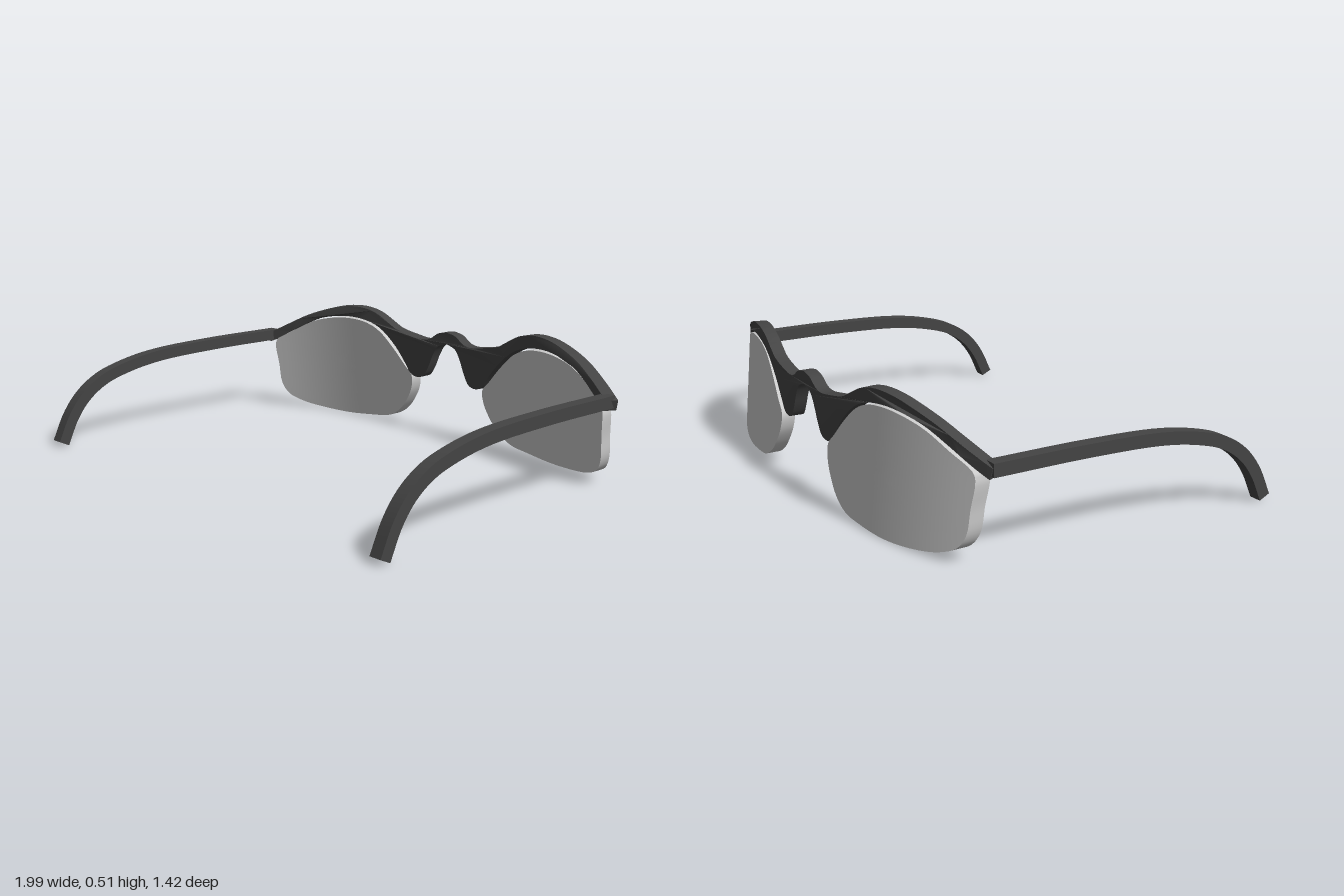
import * as THREE from 'three';
import { toCreasedNormals } from 'three/addons/utils/BufferGeometryUtils.js';

const dark = new THREE.MeshStandardMaterial({ color: 0x444444 });
const grey = new THREE.MeshStandardMaterial({ color: 0xcccccc });

const smooth = (pts, n, closed = false) => new THREE.CatmullRomCurve3(
  pts.map(([x, y]) => new THREE.Vector3(x, y, 0)), closed, 'centripetal').getPoints(n);

function addMesh(group, name, geometry, material) {
  const mesh = new THREE.Mesh(toCreasedNormals(geometry, 0.6), material);
  mesh.name = name;
  group.add(mesh);
}

// Brow bar with bridge and nose lobes, extruded flat and wrapped around the face
function browGeometry() {
  const top = [[0, 0.455], [0.05, 0.445], [0.1, 0.415], [0.14, 0.408], [0.2, 0.415], [0.3, 0.435], [0.34, 0.455],
    [0.42, 0.495], [0.5, 0.512], [0.6, 0.508], [0.7, 0.485], [0.8, 0.45], [0.9, 0.4], [0.995, 0.35]];
  const low = [[0.985, 0.31], [0.93, 0.34], [0.85, 0.387], [0.75, 0.435], [0.65, 0.458], [0.55, 0.464], [0.45, 0.45],
    [0.38, 0.42], [0.3, 0.355], [0.24, 0.285], [0.21, 0.247], [0.175, 0.235], [0.135, 0.245], [0.105, 0.29],
    [0.08, 0.345], [0.05, 0.388], [0, 0.405]];
  const half = [...smooth(top, 50), ...smooth(low, 50)];
  const mirror = half.slice(1, -1).reverse().map((p) => new THREE.Vector3(-p.x, p.y, 0));
  const shape = new THREE.Shape([...half, ...mirror].map((p) => new THREE.Vector2(p.x, p.y)));
  const geo = new THREE.ExtrudeGeometry(shape, { depth: 0.05, bevelEnabled: false });
  const pos = geo.attributes.position;
  for (let i = 0; i < pos.count; i++) {
    const x = pos.getX(i), d = pos.getZ(i);
    const slope = 0.26 * x + 0.28 * x ** 3, len = Math.hypot(slope, 1);
    pos.setX(i, x - d * slope / len);
    pos.setZ(i, -0.69 + 0.13 * x * x + 0.07 * x ** 4 + d / len);
  }
  return geo;
}

// Curved lens: concentric rings over the outer face, across the rim and back over the inner face
function lensGeometry(side) {
  const outline = smooth([[0.208, 0.235], [0.212, 0.18], [0.24, 0.125], [0.29, 0.065], [0.36, 0.025], [0.45, 0.012],
    [0.6, 0.002], [0.75, 0.012], [0.84, 0.03], [0.9, 0.06], [0.928, 0.11], [0.935, 0.2], [0.943, 0.3], [0.93, 0.328],
    [0.85, 0.375], [0.75, 0.425], [0.65, 0.449], [0.55, 0.456], [0.46, 0.445], [0.39, 0.415],
    [0.31, 0.345], [0.25, 0.28]], 88, true).slice(0, -1);
  if (side < 0) outline.reverse();
  const n = outline.length, steps = 8, rings = [];
  for (let k = 0; k <= steps; k++) rings.push([k / steps, 0]);
  for (let k = steps; k >= 0; k--) rings.push([k / steps, 0.055]);
  const verts = [], index = [];
  for (const [s, depth] of rings) {
    for (const p of outline) {
      const x = 0.58 + (p.x - 0.58) * s, y = 0.23 + (p.y - 0.23) * s;
      verts.push(side * x, y, -0.72 + 0.2 * x ** 3 + 0.09 * y + depth);
    }
  }
  for (let r = 0; r < rings.length - 1; r++) {
    for (let i = 0; i < n; i++) {
      const a = r * n + i, b = r * n + (i + 1) % n;
      index.push(a, b, a + n, b, b + n, a + n);
    }
  }
  const geo = new THREE.BufferGeometry();
  geo.setAttribute('position', new THREE.Float32BufferAttribute(verts, 3));
  geo.setIndex(index);
  return geo;
}

// Temple arm: constant-width strip along a curve in (z, y), extruded across x
function armGeometry(centerX) {
  const path = smooth([[-0.49, 0.343], [-0.1, 0.341], [0.2, 0.327], [0.36, 0.3], [0.48, 0.262],
    [0.57, 0.203], [0.635, 0.125], [0.69, 0.014]], 40);
  const upper = [], lower = [];
  path.forEach((p, i) => {
    const a = path[Math.max(i - 1, 0)], b = path[Math.min(i + 1, path.length - 1)];
    const t = new THREE.Vector2(b.x - a.x, b.y - a.y).normalize().multiplyScalar(0.024);
    upper.push(new THREE.Vector2(p.x - t.y, p.y + t.x));
    lower.unshift(new THREE.Vector2(p.x + t.y, p.y - t.x));
  });
  const geo = new THREE.ExtrudeGeometry(new THREE.Shape([...upper, ...lower]), { depth: 0.05, bevelEnabled: false });
  return geo.rotateY(-Math.PI / 2).translate(centerX + 0.025, 0, 0);
}

export function createModel() {
  const group = new THREE.Group();
  group.name = 'glasses';
  addMesh(group, 'browFrame', browGeometry(), dark);
  addMesh(group, 'leftLens', lensGeometry(1), grey);
  addMesh(group, 'rightLens', lensGeometry(-1), grey);
  addMesh(group, 'leftArm', armGeometry(0.957), dark);
  addMesh(group, 'rightArm', armGeometry(-0.973), dark);
  return group;
}
